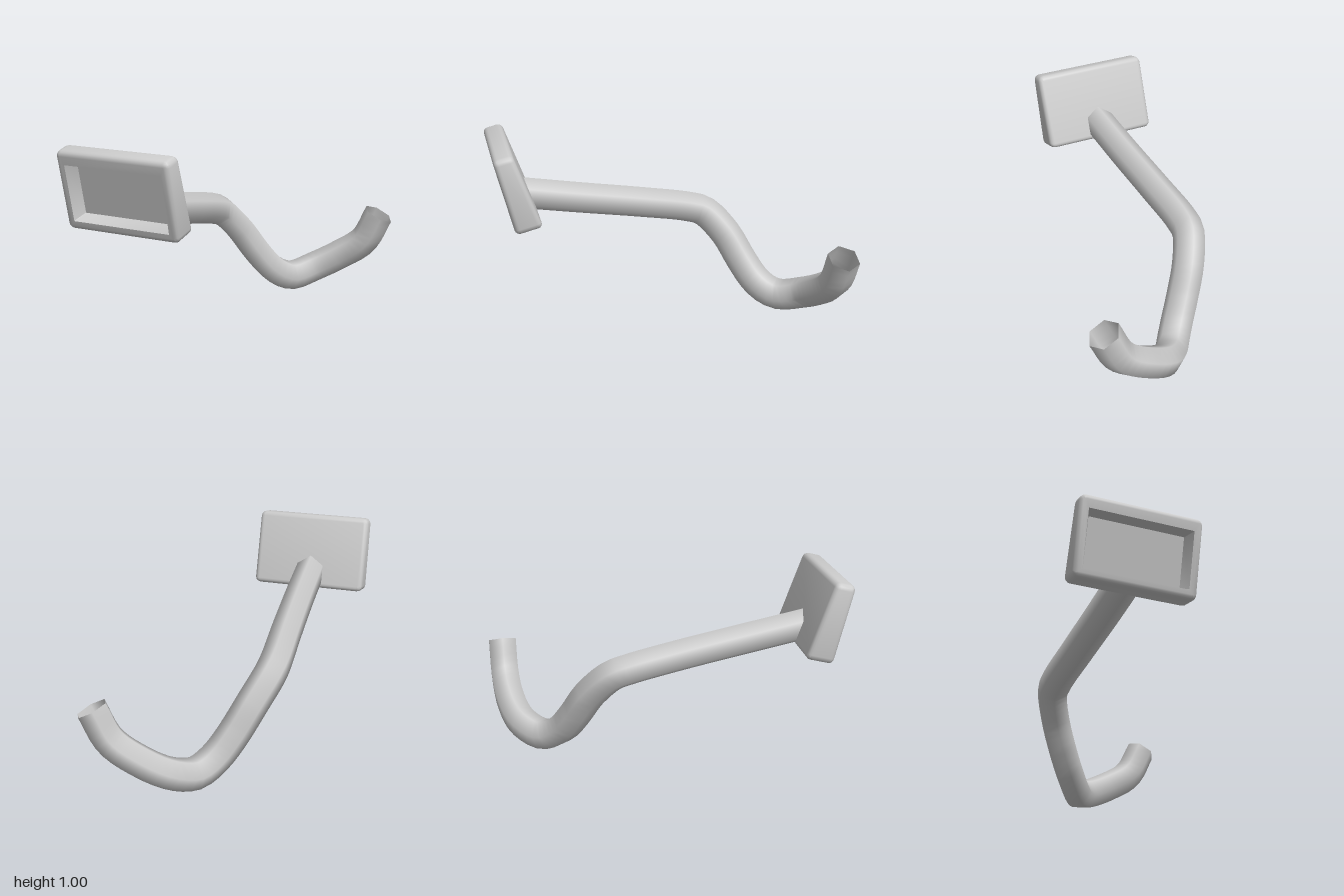
import * as THREE from 'three';
import { toCreasedNormals } from 'three/addons/utils/BufferGeometryUtils.js';

const deg = Math.PI / 180;
const material = new THREE.MeshStandardMaterial({ color: 0xcccccc, side: THREE.DoubleSide });

// Counter-clockwise rounded rectangle; z leans with height by "slant"
function ring(w, h, r, z, slant = 0, yOff = 0) {
  const points = [];
  const corners = [[1, 1], [-1, 1], [-1, -1], [1, -1]];
  corners.forEach(([sx, sy], k) => {
    for (let i = 0; i <= 3; i++) {
      const a = (k + i / 3) * Math.PI / 2;
      const x = sx * (w / 2 - r) + r * Math.cos(a);
      const y = sy * (h / 2 - r) + r * Math.sin(a) + yOff;
      points.push(new THREE.Vector3(x, y, z + slant * y));
    }
  });
  return points;
}

// Skin joining the rings, closed by a fan at each end
function loft(rings) {
  const n = rings[0].length;
  const points = rings.flat();
  const index = [];
  for (let i = 0; i < rings.length - 1; i++) {
    for (let j = 0; j < n; j++) {
      const a = i * n + j, b = i * n + (j + 1) % n;
      index.push(a, a + n, b, b, a + n, b + n);
    }
  }
  const last = (rings.length - 1) * n;
  for (let j = 1; j < n - 1; j++) {
    index.push(0, j, j + 1);
    index.push(last, last + j + 1, last + j);
  }
  const g = new THREE.BufferGeometry().setFromPoints(points);
  g.setIndex(index);
  return toCreasedNormals(g, 35 * deg);
}

// Housing with a framed recess in front, thicker towards the bottom
function headGeometry() {
  const w = 0.62, h = 0.405, bevel = 0.026, steps = 4;
  const rings = [
    ring(0.485, 0.26, 0.002, -0.07, 0, -0.01),
    ring(0.53, 0.29, 0.002, 0, 0, -0.01),
  ];
  for (let i = 0; i <= steps; i++) {
    const a = i / steps * Math.PI / 2;
    const inset = bevel * (1 - Math.sin(a));
    rings.push(ring(w - 2 * inset, h - 2 * inset, 0.03 - inset, -bevel * (1 - Math.cos(a))));
  }
  for (let i = 0; i <= steps; i++) {
    const a = i / steps * Math.PI / 2;
    const inset = bevel * (1 - Math.cos(a));
    rings.push(ring(w - 2 * inset, h - 2 * inset, 0.03 - inset, -0.122 + bevel * (1 - Math.sin(a)), 0.1));
  }
  return loft(rings);
}

// Six-sided open pipe; its first ring is slid onto a plane inside the head
function pipeGeometry(plane) {
  const path = new THREE.CatmullRomCurve3([
    [0.065, 0.71, 0.75], [-0.06, 0.652, 0.46], [-0.2, 0.59, 0.15],
    [-0.31, 0.535, -0.09], [-0.335, 0.505, -0.17], [-0.32, 0.39, -0.29],
    [-0.28, 0.25, -0.385], [-0.245, 0.155, -0.46], [-0.22, 0.105, -0.53],
    [-0.2, 0.088, -0.6], [-0.15, 0.127, -0.72], [-0.045, 0.2, -0.815],
    [0.08, 0.3, -0.885], [0.158, 0.46, -0.92],
  ].map(p => new THREE.Vector3(...p)));
  const g = new THREE.TubeGeometry(path, 56, 0.084, 6, false);
  const t = path.getTangentAt(0);
  const pos = g.attributes.position;
  const p = new THREE.Vector3();
  for (let i = 0; i <= 6; i++) {
    p.fromBufferAttribute(pos, i);
    p.addScaledVector(t, -plane.distanceToPoint(p) / plane.normal.dot(t));
    pos.setXYZ(i, p.x, p.y, p.z);
  }
  return g;
}

export function createModel() {
  const group = new THREE.Group();

  const head = new THREE.Mesh(headGeometry(), material);
  head.name = 'head';
  head.rotation.set(14 * deg, 20 * deg, -0.8 * deg, 'YXZ');
  head.position.set(0.107, 0.787, 0.85);
  group.add(head);

  // Plane between the recess floor and the back of the head
  const normal = new THREE.Vector3(0, 0, 1).applyEuler(head.rotation);
  const anchor = head.position.clone().addScaledVector(normal, -0.095);
  const plane = new THREE.Plane().setFromNormalAndCoplanarPoint(normal, anchor);

  const pipe = new THREE.Mesh(pipeGeometry(plane), material);
  pipe.name = 'bentPipe';
  group.add(pipe);
  return group;
}
